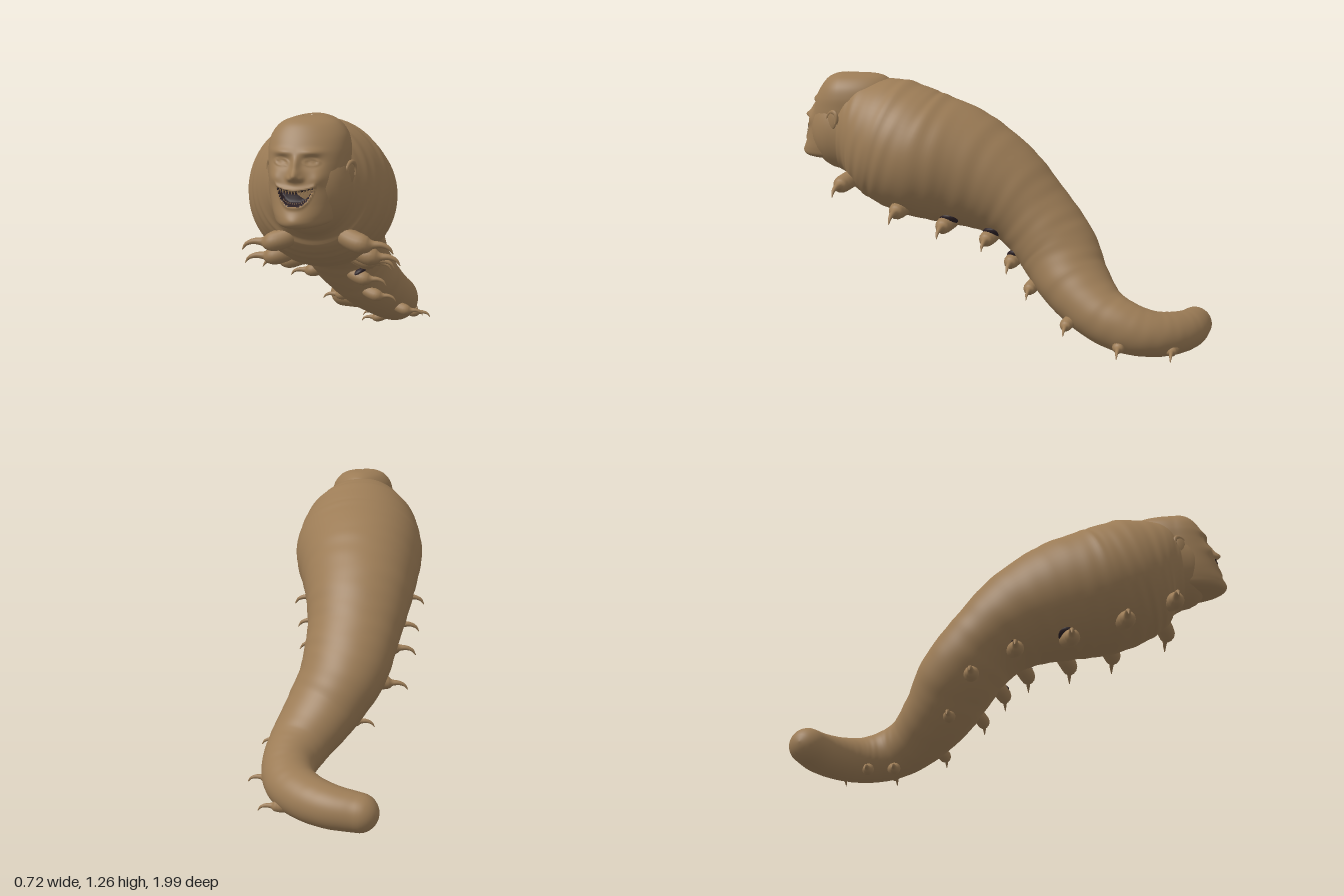
import * as THREE from 'three';

const skin = new THREE.MeshStandardMaterial({ color: 0x9c7c56 });
skin.name = 'tan skin';
const dark = new THREE.MeshStandardMaterial({ color: 0x2a1f24 });
dark.name = 'dark hollow';

const V = (x, y, z) => new THREE.Vector3(x, y, z);
const bump = (x, y, cx, cy, sx, sy) => Math.exp(-(((x - cx) / sx) ** 2) - ((y - cy) / sy) ** 2);

// Closed loops joined into a skin; faces accepted by isDark go to the second material
function loft(rows, cols, point, isDark = () => false) {
  const pos = [], light = [], shade = [];
  for (let i = 0; i < rows; i++)
    for (let j = 0; j < cols; j++) pos.push(...point(i, (j / cols) * Math.PI * 2).toArray());
  for (let i = 0; i < rows - 1; i++)
    for (let j = 0; j < cols; j++) {
      const k = (j + 1) % cols;
      const a = i * cols + j, b = i * cols + k, c = b + cols, d = a + cols;
      const mid = V((pos[3 * a] + pos[3 * c]) / 2, (pos[3 * a + 1] + pos[3 * c + 1]) / 2, pos[3 * a + 2]);
      (isDark(mid) ? shade : light).push(a, b, d, b, c, d);
    }
  const geo = new THREE.BufferGeometry();
  geo.setAttribute('position', new THREE.Float32BufferAttribute(pos, 3));
  geo.setIndex([...light, ...shade]);
  geo.addGroup(0, light.length, 0);
  geo.addGroup(light.length, shade.length, 1);
  geo.computeVertexNormals();
  return geo;
}

// Sweep elliptical sections [x, y, z, halfWidth, halfHeight] along a curve, with rounded ends
function sweep(sections, steps, cols, wrinkle = () => 0) {
  const path = new THREE.CatmullRomCurve3(sections.map(s => V(s[0], s[1], s[2])));
  const size = new THREE.CatmullRomCurve3(sections.map(s => V(s[3], s[4], 0)));
  const cap = 7, rings = [];
  const ring = (t, a, dir) => {
    const T = path.getTangent(t), r = size.getPoint(t);
    const S = V(0, 1, 0).cross(T).normalize(), U = T.clone().cross(S);
    const c = path.getPoint(t).addScaledVector(T, dir * Math.sin(a) * r.x);
    rings.push({ c, S, U, t, w: r.x * Math.cos(a), h: r.y * Math.cos(a) });
  };
  for (let i = cap; i > 0; i--) ring(0, (i / cap) * Math.PI / 2, -1);
  for (let i = 0; i <= steps; i++) ring(i / steps, 0, 0);
  for (let i = 1; i <= cap; i++) ring(1, (i / cap) * Math.PI / 2, 1);
  return loft(rings.length, cols, (i, a) => {
    const { c, S, U, t, w, h } = rings[i], k = 1 + wrinkle(t, a);
    return c.clone().addScaledVector(S, w * k * Math.cos(a)).addScaledVector(U, h * k * Math.sin(a));
  });
}

function add(parent, name, geo, mat = skin) {
  const mesh = new THREE.Mesh(geo, mat);
  mesh.name = name;
  parent.add(mesh);
  return mesh;
}

// Smiling mouth: positive inside the opening, u measured from the face's middle
const FACE_X = -0.047;
const upperLip = u => 1.003 + 0.012 * (u / 0.072) ** 2;
const lowerLip = u => 0.944 + 0.071 * Math.abs(u / 0.072) ** 3;
const inMouth = (u, y) => Math.min(y - lowerLip(u), upperLip(u) - y);

// Relief of the face
function relief(u, y) {
  const s = Math.abs(u), m = inMouth(u, y);
  const eye = Math.hypot((s - 0.058) / 0.027, (y - 1.104) / 0.012);
  let d = 0.038 * bump(u, y, 0, 1.058, 0.019, 0.02) + 0.018 * bump(u, y, 0, 1.095, 0.014, 0.03);
  d += 0.012 * bump(s, y, 0.022, 1.047, 0.011, 0.011);
  d -= 0.02 * bump(s, y, 0.056, 1.106, 0.034, 0.02);
  d += 0.01 * bump(s, y, 0.058, 1.104, 0.02, 0.012);
  d += 0.004 * Math.exp(-(((eye - 1) / 0.25) ** 2));
  d += 0.01 * bump(s, y, 0.055, 1.142, 0.04, 0.013);
  d += 0.014 * bump(s, y, 0.088, 1.045, 0.028, 0.028);
  d += 0.008 * bump(u, y, 0, 0.89, 0.04, 0.02);
  if (s < 0.085) d += 0.008 * Math.exp(-((m / 0.01) ** 2));
  return d - 0.03 * THREE.MathUtils.smoothstep(m, 0, 0.01);
}

function makeHead() {
  const head = new THREE.Group();
  head.name = 'head';
  // Half width, height, front depth from the chin to the crown
  const profile = new THREE.CatmullRomCurve3([
    [0.005, 0.852, 0.80], [0.082, 0.855, 0.95], [0.115, 0.872, 0.985], [0.128, 0.90, 0.985],
    [0.142, 0.95, 0.968], [0.149, 1.0, 0.955], [0.153, 1.05, 0.94], [0.156, 1.1, 0.927],
    [0.156, 1.15, 0.908], [0.143, 1.2, 0.88], [0.11, 1.24, 0.848], [0.065, 1.26, 0.81],
    [0.002, 1.267, 0.752],
  ].map(p => V(...p)));
  const rows = 130, zc = 0.75;
  const geo = loft(rows, 170, (i, a) => {
    const p = profile.getPoint(i / (rows - 1)), c = Math.cos(a);
    const front = Math.max(0, c), depth = p.z - zc;
    const x = -0.02 + p.x * Math.sin(a) - 0.025 * front;
    const back = 0.24 * Math.sqrt(Math.max(0, p.x) / 0.156);
    const z = c > 0 ? zc + depth * c ** 0.85 : zc + back * c;
    return V(x, p.y, z + relief(x - FACE_X, p.y) * Math.min(1, front * 2.5));
  }, p => p.z > 0.86 && inMouth(p.x - FACE_X, p.y) > 0.001);
  add(head, 'face', geo, [skin, dark]);

  // Pointed teeth along both lips
  for (const upper of [true, false])
    for (let i = -5; i <= 5; i++) {
      const u = i * (upper ? 0.0115 : 0.0085);
      const tooth = add(head, 'tooth', new THREE.ConeGeometry(0.0058, upper ? 0.022 : 0.015, 8));
      const z = 0.75 + 0.205 * (1 - (u / 0.147) ** 2) ** 0.425 - 0.006;
      tooth.position.set(FACE_X + u, upper ? upperLip(u) - 0.008 : lowerLip(u) + 0.005, z);
      if (upper) tooth.rotation.x = Math.PI;
    }

  // Ears
  for (const side of [-1, 1]) {
    const ear = new THREE.Group();
    ear.name = side > 0 ? 'leftEar' : 'rightEar';
    const rim = add(ear, 'earRim', new THREE.TorusGeometry(0.034, 0.009, 10, 28, Math.PI * 1.45));
    rim.scale.set(side * 0.9, 1.2, 1);
    rim.rotation.z = side * -0.5;
    const bowl = add(ear, 'earBowl', new THREE.SphereGeometry(0.034, 20, 14));
    bowl.scale.set(0.85, 1.3, 0.28);
    ear.position.set(-0.02 + side * 0.157, 1.05, 0.775);
    ear.rotation.set(0, side * 1.1, 0);
    head.add(ear);
  }
  return head;
}

// Plump leg ending in a hooked claw; side is the outward direction in x
function makeLeg([x, y, z, s], side) {
  const leg = new THREE.Group();
  leg.name = side > 0 ? 'leftLeg' : 'rightLeg';
  const pts = [
    [-0.1, 0.045, -0.05, 0.03], [-0.05, 0.016, -0.02, 0.042], [0.0, 0, 0, 0.041], [0.03, -0.004, 0, 0.032],
    [0.05, -0.003, 0, 0.017], [0.085, -0.003, 0, 0.012], [0.115, -0.015, 0, 0.008], [0.132, -0.038, 0, 0.002],
  ].map(([px, py, pz, r]) => [x + side * px * s, y + py * s, z + pz * s, r * s, r * s]);
  add(leg, 'clawedLeg', sweep(pts, 26, 14));
  return leg;
}

export function createModel() {
  const model = new THREE.Group();
  model.name = 'larva';

  // Long curling body from neck to tail
  const body = sweep([
    [-0.02, 1.0, 0.765, 0.165, 0.2], [-0.025, 0.99, 0.68, 0.235, 0.252],
    [-0.03, 0.95, 0.55, 0.295, 0.297], [-0.035, 0.888, 0.4, 0.315, 0.304],
    [-0.055, 0.823, 0.2, 0.285, 0.286], [-0.065, 0.725, 0, 0.245, 0.235],
    [-0.055, 0.602, -0.15, 0.213, 0.19], [-0.02, 0.46, -0.27, 0.2, 0.18],
    [0.06, 0.318, -0.37, 0.175, 0.155], [0.145, 0.203, -0.5, 0.138, 0.128],
    [0.175, 0.15, -0.62, 0.115, 0.118], [0.15, 0.12, -0.73, 0.11, 0.105],
    [0.08, 0.105, -0.82, 0.102, 0.098], [-0.03, 0.095, -0.89, 0.092, 0.09],
    [-0.155, 0.086, -0.92, 0.08, 0.08],
  ], 200, 64, (t, a) => {
    const fold = Math.sin(t * 150 + 1.5 * Math.sin(a * 2 + t * 9)) + 0.6 * Math.sin(t * 233 + Math.sin(a * 3));
    return 0.005 * fold * (1 - 0.6 * t);
  });
  add(model, 'body', body);
  model.add(makeHead());

  // Legs: root x, y, z and size
  const leftLegs = [
    [0.17, 0.755, 0.72, 1], [0.17, 0.64, 0.45, 1], [0.13, 0.57, 0.24, 0.95], [0.1, 0.51, 0.04, 0.9],
    [0.07, 0.4, -0.07, 0.85], [0.12, 0.29, -0.17, 0.75], [0.245, 0.165, -0.36, 0.7],
    [0.265, 0.085, -0.6, 0.7], [0.18, 0.06, -0.83, 0.7],
  ];
  const rightLegs = [
    [-0.18, 0.755, 0.73, 1], [-0.23, 0.64, 0.5, 1], [-0.22, 0.56, 0.25, 0.95], [-0.22, 0.51, 0, 0.9],
    [-0.2, 0.4, -0.2, 0.85], [-0.07, 0.25, -0.31, 0.75], [0.08, 0.055, -0.57, 0.65],
    [0.07, 0.05, -0.69, 0.65],
  ];
  for (const [legs, side] of [[leftLegs, 1], [rightLegs, -1]])
    legs.forEach((l, i) => {
      model.add(makeLeg(l, side));
      // Dark hollows behind the middle legs, where they meet the belly
      if (i < 1 || i > 4) return;
      const hollow = add(model, 'legHollow', new THREE.SphereGeometry(1, 20, 12), dark);
      hollow.scale.set(0.042, 0.02, 0.045);
      hollow.position.set(l[0] - side * 0.025, l[1] + 0.026, l[2] - 0.02);
      hollow.rotation.z = side * 0.6;
    });
  return model;
}
